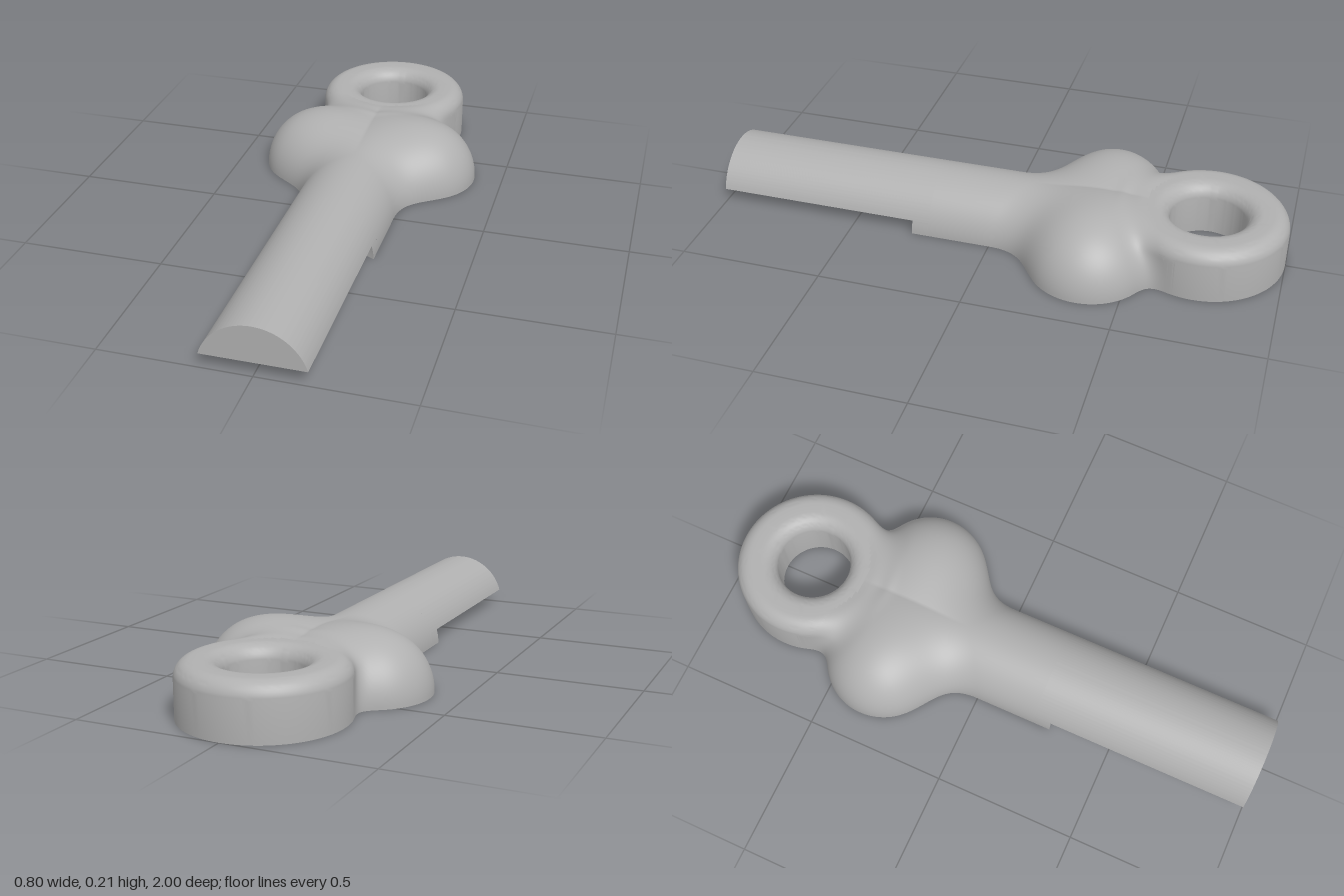
import * as THREE from 'three';
import { toCreasedNormals } from 'three/addons/utils/BufferGeometryUtils.js';

const SHAFT_R = 0.177, SHAFT_END = -0.42;
const RING = { z: -0.725, outer: 0.275, hole: 0.13, top: 0.186, round: 0.055 };
const LOBE = { x: 0.19, z: -0.36, r: 0.208 };
const SEAM_Z = 0.22, STEP_Z = 0.28, CUT_Y = 0.05;

function smoothMin(a, b, k) {
  const h = Math.max(k - Math.abs(a - b), 0) / k;
  return Math.min(a, b) - h * h * k / 4;
}

// rounded-edge cylinder distance from radial and axial overshoot
const edgeDistance = (u, v) => Math.min(Math.max(u, v), 0) + Math.hypot(Math.max(u, 0), Math.max(v, 0));

// shaft, side lobes and eye, melted together
function field(x, y, z) {
  const shaft = edgeDistance(Math.hypot(x, y) - SHAFT_R, SHAFT_END - z);
  const lobe = Math.hypot(Math.abs(x) - LOBE.x, y, z - LOBE.z) - LOBE.r;
  const r = Math.hypot(x, z - RING.z);
  const eye = edgeDistance(r - RING.outer + RING.round, y - RING.top + RING.round) - RING.round;
  return smoothMin(smoothMin(shaft, lobe, 0.15), eye, 0.08);
}

// distance from the long axis to the surface
function surfaceRadius(angle, z) {
  let lo = 0, hi = 0.6;
  for (let n = 0; n < 24; n++) {
    const mid = (lo + hi) / 2;
    if (field(mid * Math.cos(angle), mid * Math.sin(angle), z) < 0) lo = mid; else hi = mid;
  }
  return lo;
}

function buildGeometry(positions, indices) {
  const g = new THREE.BufferGeometry();
  g.setAttribute('position', new THREE.Float32BufferAttribute(positions, 3));
  g.setIndex(indices);
  g.computeVertexNormals();
  return g;
}

// domed upper skin and flat underside of the blended middle
function bodyGeometries() {
  const rows = 88, cols = 96, END_Z = -0.66, EYE_Z = -0.58;
  const skin = [], skinIndex = [], base = [], baseIndex = [];
  for (let i = 0; i <= rows; i++) {
    const z = SEAM_Z + (END_Z - SEAM_Z) * i / rows;
    for (let j = 0; j <= cols; j++) {
      const a = Math.PI * j / cols, r = surfaceRadius(a, z);
      skin.push(r * Math.cos(a), r * Math.sin(a), z);
    }
    const outer = surfaceRadius(0, z), inner = z > EYE_Z - 0.001 ? 0 : 0.17;
    base.push(outer, 0, z, inner, 0, z, -outer, 0, z, -inner, 0, z);
  }
  // leave the eye's opening free
  const overEye = (n) => skin[n * 3 + 2] < EYE_Z + 0.06 &&
    Math.hypot(skin[n * 3], skin[n * 3 + 2] - RING.z) < 0.2;
  for (let i = 0; i < rows; i++) {
    for (let j = 0; j < cols; j++) {
      const a = i * (cols + 1) + j, b = a + cols + 1;
      if ([a, a + 1, b, b + 1].some(overEye)) continue;
      skinIndex.push(a, b, a + 1, b, b + 1, a + 1);
    }
    const p = i * 4, q = p + 4;
    baseIndex.push(p, p + 1, q, p + 1, q + 1, q);
    baseIndex.push(p + 2, q + 2, p + 3, p + 3, q + 2, q + 3);
  }
  return [buildGeometry(skin, skinIndex), buildGeometry(base, baseIndex)];
}

// eye: rounded ring with a flat underside
function eyeGeometry() {
  const { outer, hole, top, round } = RING;
  const pts = [new THREE.Vector2(hole, 0), new THREE.Vector2(outer, 0)];
  const corner = (cx, from) => {
    for (let i = 0; i <= 10; i++) {
      const a = from + Math.PI / 2 * i / 10;
      pts.push(new THREE.Vector2(cx + round * Math.cos(a), top - round + round * Math.sin(a)));
    }
  };
  corner(outer - round, 0);
  corner(hole + round, Math.PI / 2);
  pts.push(new THREE.Vector2(hole, 0));
  return toCreasedNormals(new THREE.LatheGeometry(pts, 96), 0.6);
}

// long shaft with its underside cut flat
function shaftGeometry() {
  const a = Math.asin(CUT_Y / SHAFT_R);
  const shape = new THREE.Shape();
  shape.absarc(0, 0, SHAFT_R, a, Math.PI - a, false);
  shape.closePath();
  const g = new THREE.ExtrudeGeometry(shape, { depth: 1 - SEAM_Z, bevelEnabled: false, curveSegments: 64 });
  return toCreasedNormals(g.translate(0, 0, SEAM_Z), 0.5);
}

// step under the shaft, ending in a hollow arc
function stepGeometry() {
  const w = SHAFT_R;
  const shape = new THREE.Shape();
  shape.moveTo(-w, -SEAM_Z);
  shape.lineTo(-w, -STEP_Z);
  shape.quadraticCurveTo(0, -STEP_Z + 0.1, w, -STEP_Z);
  shape.lineTo(w, -SEAM_Z);
  shape.closePath();
  const g = new THREE.ExtrudeGeometry(shape, { depth: CUT_Y, steps: 4, bevelEnabled: false, curveSegments: 24 });
  g.rotateX(-Math.PI / 2);
  // follow the round side of the shaft
  const pos = g.attributes.position;
  for (let i = 0; i < pos.count; i++) {
    const y = pos.getY(i);
    pos.setX(i, pos.getX(i) * Math.sqrt(w * w - y * y) / w);
  }
  return toCreasedNormals(g, 0.5);
}

export function createModel() {
  const model = new THREE.Group();
  model.name = 'eyeBoltHalf';
  const grey = new THREE.MeshStandardMaterial({ color: 0xb0b0b0 });
  grey.name = 'plain grey';
  const add = (name, geometry) => {
    const mesh = new THREE.Mesh(geometry, grey);
    mesh.name = name;
    model.add(mesh);
    return mesh;
  };
  const [skin, base] = bodyGeometries();
  add('lobedBody', skin);
  add('bodyUnderside', base);
  add('eye', eyeGeometry()).position.z = RING.z;
  add('shaft', shaftGeometry());
  add('shaftStep', stepGeometry());
  return model;
}
